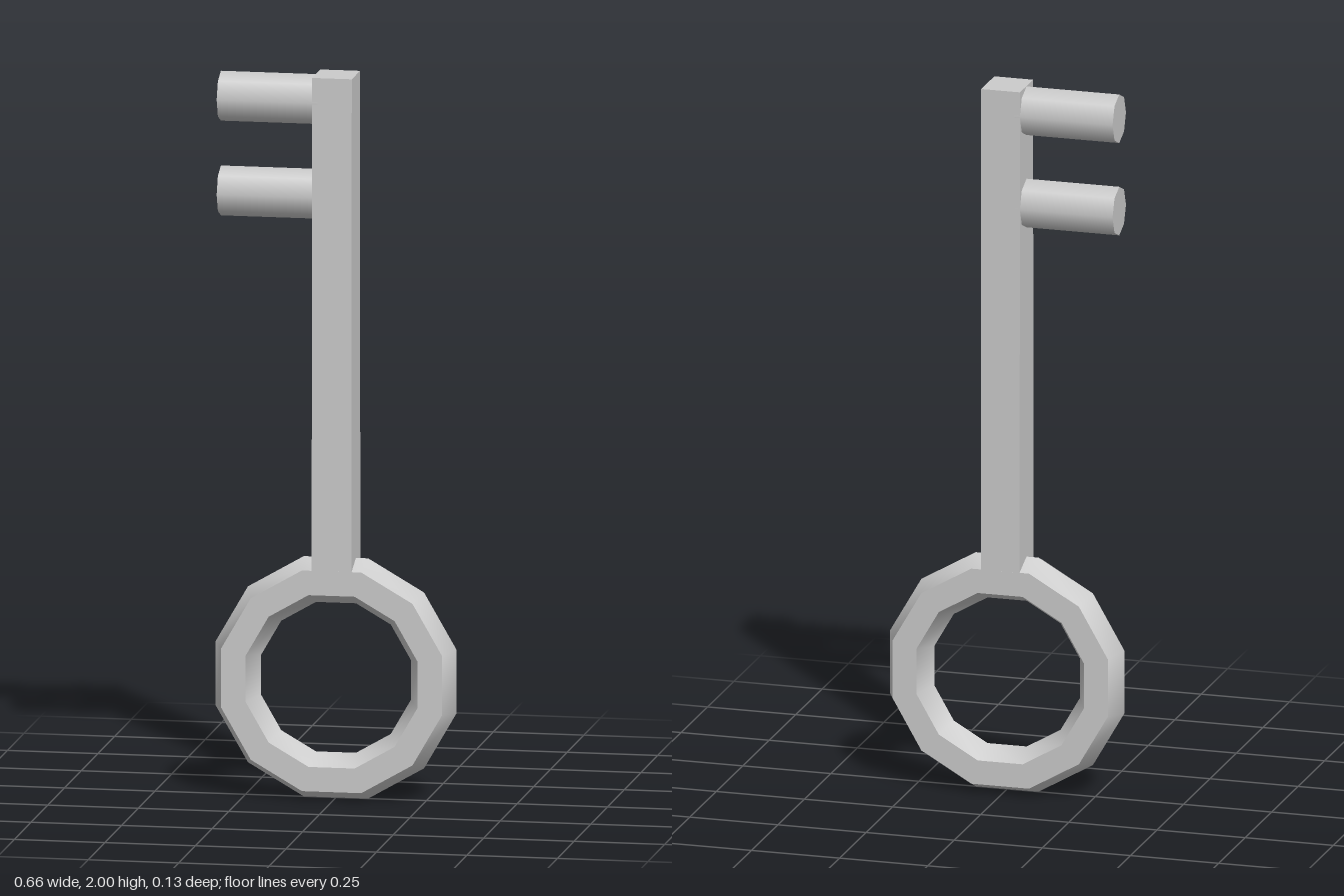
import * as THREE from 'three';
import { toCreasedNormals } from 'three/addons/utils/BufferGeometryUtils.js';

export function createModel() {
  const group = new THREE.Group();
  const material = new THREE.MeshStandardMaterial({ color: 0xcccccc });
  const add = (name, geometry, x, y) => {
    const mesh = new THREE.Mesh(geometry, material);
    mesh.name = name;
    mesh.position.set(x, y, 0);
    group.add(mesh);
  };

  // Bow: twelve-sided ring with a six-sided cross-section, flats facing the sides
  const profile = [
    [0.246, -0.066], [0.316, -0.066], [0.344, 0], [0.316, 0.066],
    [0.246, 0.066], [0.214, 0], [0.246, -0.066],
  ].map(([r, h]) => new THREE.Vector2(r, h));
  const bow = new THREE.LatheGeometry(profile, 12, Math.PI / 12);
  bow.rotateX(Math.PI / 2);
  add('bow', toCreasedNormals(bow, 0.6), 0, 0.332);

  // Shank: square bar, slightly deeper where it grows out of the bow
  const bottom = 0.625, top = 2;
  const shank = new THREE.BoxGeometry(0.11, top - bottom, 0.124);
  const p = shank.attributes.position;
  for (let i = 0; i < p.count; i++) {
    if (p.getY(i) < 0) p.setZ(i, Math.sign(p.getZ(i)) * 0.066);
  }
  shank.computeVertexNormals();
  add('shank', shank, 0, (top + bottom) / 2);

  // Bit: two round pegs on the right of the shank
  for (const [name, y] of [['upperTooth', 1.93], ['lowerTooth', 1.668]]) {
    const tooth = new THREE.CylinderGeometry(0.069, 0.069, 0.278, 8);
    tooth.rotateZ(Math.PI / 2);
    tooth.scale(1, 1, 0.92);
    add(name, tooth, -0.179, y);
  }

  return group;
}
